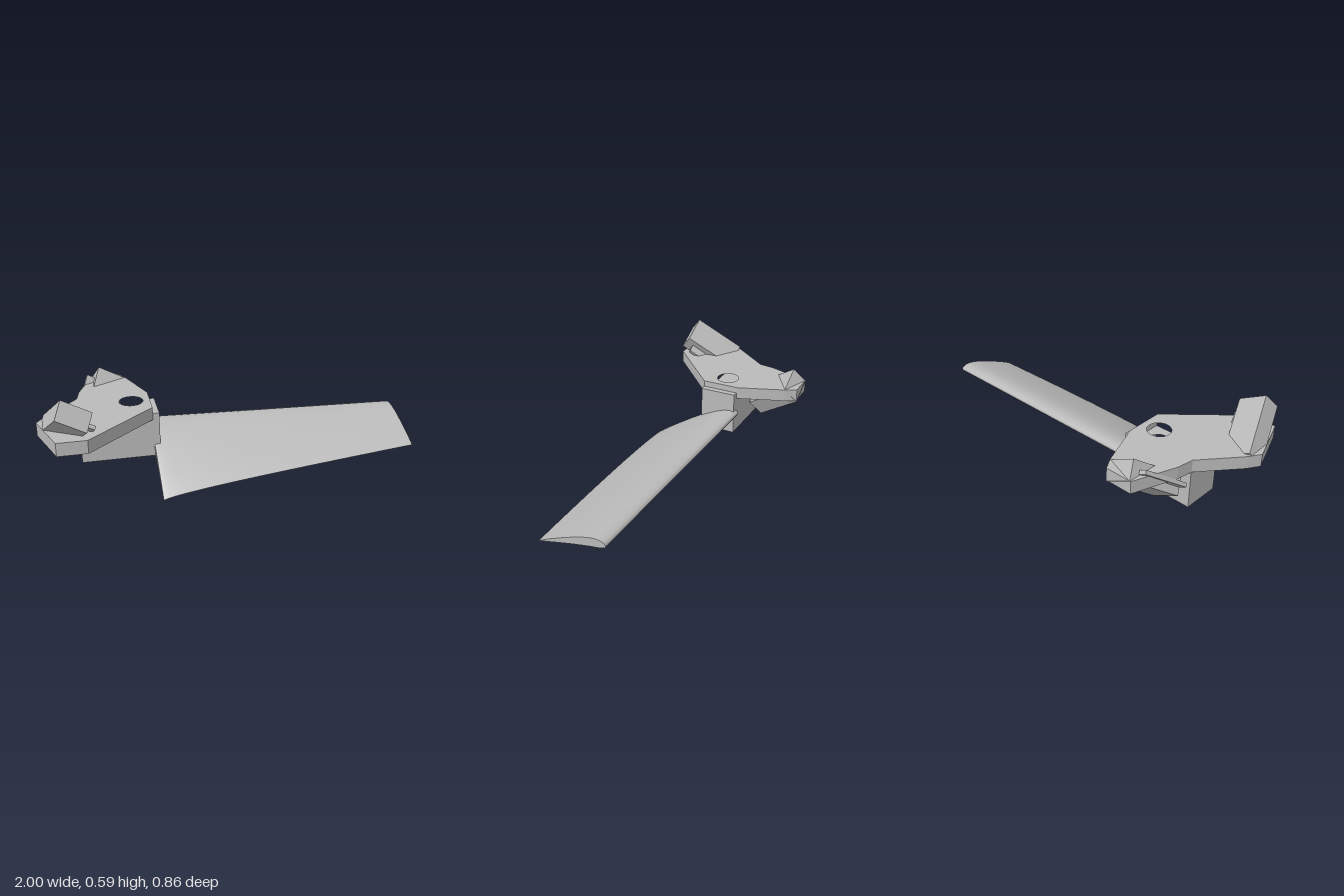
import * as THREE from 'three';

const grey = new THREE.MeshStandardMaterial({ color: 0xbababa });
grey.name = 'plain grey';

function add(parent, name, geometry) {
  const mesh = new THREE.Mesh(geometry, grey);
  mesh.name = name;
  parent.add(mesh);
  return mesh;
}

// Upright slab from a plan outline of [x, z] points, with the round bore through it
function slab(points, y0, y1) {
  const shape = new THREE.Shape(points.map(([x, z]) => new THREE.Vector2(x, -z)));
  shape.holes.push(new THREE.Path().absarc(-0.51, 0.005, 0.063, 0, Math.PI * 2, true));
  const geo = new THREE.ExtrudeGeometry(shape, { depth: y1 - y0, bevelEnabled: false, curveSegments: 24 });
  return geo.rotateX(-Math.PI / 2).translate(0, y0, 0);
}

// Box spanned by a corner and three perpendicular edge vectors
function spannedBox(corner, a, b, c) {
  const geo = new THREE.BoxGeometry(a.length(), b.length(), c.length());
  const x = a.clone().normalize(), y = b.clone().normalize();
  const m = new THREE.Matrix4().makeBasis(x, y, x.clone().cross(y));
  const centre = corner.clone().addScaledVector(a, 0.5).addScaledVector(b, 0.5).addScaledVector(c, 0.5);
  return geo.applyMatrix4(m.setPosition(centre));
}

// Tilted bar with a thin fin; side = 1 leans to the front, -1 to the back
function tiltedBar(name, corner, side) {
  const group = new THREE.Group();
  group.name = name;
  const across = new THREE.Vector3(0.145, -0.077, 0);
  const down = new THREE.Vector3(-0.035, -0.075, 0.065 * side);
  const along = across.clone().cross(down).normalize().multiplyScalar(0.32 * side);
  add(group, 'bar', spannedBox(corner, across, down, along));

  const fin = corner.clone().addScaledVector(down, 0.4).addScaledVector(along, 0.15);
  if (side > 0) fin.add(across);
  add(group, 'fin', spannedBox(fin, across.clone().multiplyScalar(0.27 * side),
    down.clone().multiplyScalar(0.2), along.clone().multiplyScalar(0.85)));
  return group;
}

// Aerofoil as [chord position, height], rear edge over the top to the nose and back below
const profile = [[1, 0], [0.9, 0.026], [0.8, 0.047], [0.6, 0.083], [0.4, 0.108], [0.25, 0.114],
  [0.15, 0.104], [0.08, 0.082], [0.03, 0.05], [0.008, 0.025], [0, 0], [0.01, -0.015], [0.04, -0.025],
  [0.1, -0.025], [0.25, -0.012], [0.5, -0.002], [0.75, 0], [1, 0]];

// Wing section at span fraction t: tapered and twisted
function section(t) {
  const x = -0.405 + 1.405 * t;
  const noseZ = -0.122 + 0.027 * t, noseY = 0.237 - 0.025 * t;
  const tailZ = 0.385 - 0.1 * Math.pow(t, 1.15), tailY = 0.115 * Math.pow(t, 0.6);
  const chord = tailZ - noseZ;
  return profile.map(([u, h]) => [x, noseY + (tailY - noseY) * u + h * chord, noseZ + chord * u]);
}

function wingSkin() {
  const spans = 40, n = profile.length, pos = [], index = [];
  for (let i = 0; i <= spans; i++) pos.push(...section(Math.pow(i / spans, 1.6)).flat());
  for (let i = 0; i < spans; i++) {
    for (let j = 0; j < n - 1; j++) {
      const a = i * n + j, b = a + n;
      index.push(a, b, a + 1, b, b + 1, a + 1);
    }
  }
  const geo = new THREE.BufferGeometry();
  geo.setAttribute('position', new THREE.Float32BufferAttribute(pos, 3));
  geo.setIndex(index);
  geo.computeVertexNormals();
  return geo;
}

function wingCap(t, flip) {
  const pts = section(t).slice(0, -1);
  const faces = THREE.ShapeUtils.triangulateShape(pts.map((p) => new THREE.Vector2(p[2], p[1])), []);
  const geo = new THREE.BufferGeometry();
  geo.setAttribute('position', new THREE.Float32BufferAttribute(pts.flat(), 3));
  geo.setIndex(faces.flatMap(([a, b, c]) => (flip ? [a, c, b] : [a, b, c])));
  geo.computeVertexNormals();
  return geo;
}

export function createModel() {
  const model = new THREE.Group();
  model.name = 'wingWithMount';

  // Mounting plate and block
  add(model, 'mountPlate', slab([[-0.69, -0.428], [-0.54, -0.428], [-0.505, -0.365], [-0.41, -0.11],
    [-0.41, 0.105], [-0.76, 0.428], [-0.91, 0.428], [-1, 0.17], [-0.96, 0.105], [-0.79, -0.1],
    [-0.775, -0.19]], 0.33, 0.4));
  add(model, 'mountBlock', slab([[-0.79, -0.104], [-0.4, -0.104], [-0.4, 0.104], [-0.79, 0.104]], 0.12, 0.33));
  add(model, 'endFlange', new THREE.BoxGeometry(0.035, 0.245, 0.208).translate(-0.3925, 0.2425, 0));

  // Tilted bars through the plate
  model.add(tiltedBar('frontBar', new THREE.Vector3(-0.87, 0.59, 0.365), 1));
  model.add(tiltedBar('backBar', new THREE.Vector3(-0.65, 0.475, -0.365), -1));

  // Wing
  const wing = new THREE.Group();
  wing.name = 'wing';
  add(wing, 'wingSkin', wingSkin());
  add(wing, 'wingRoot', wingCap(0, false));
  add(wing, 'wingTip', wingCap(1, true));
  model.add(wing);
  return model;
}
